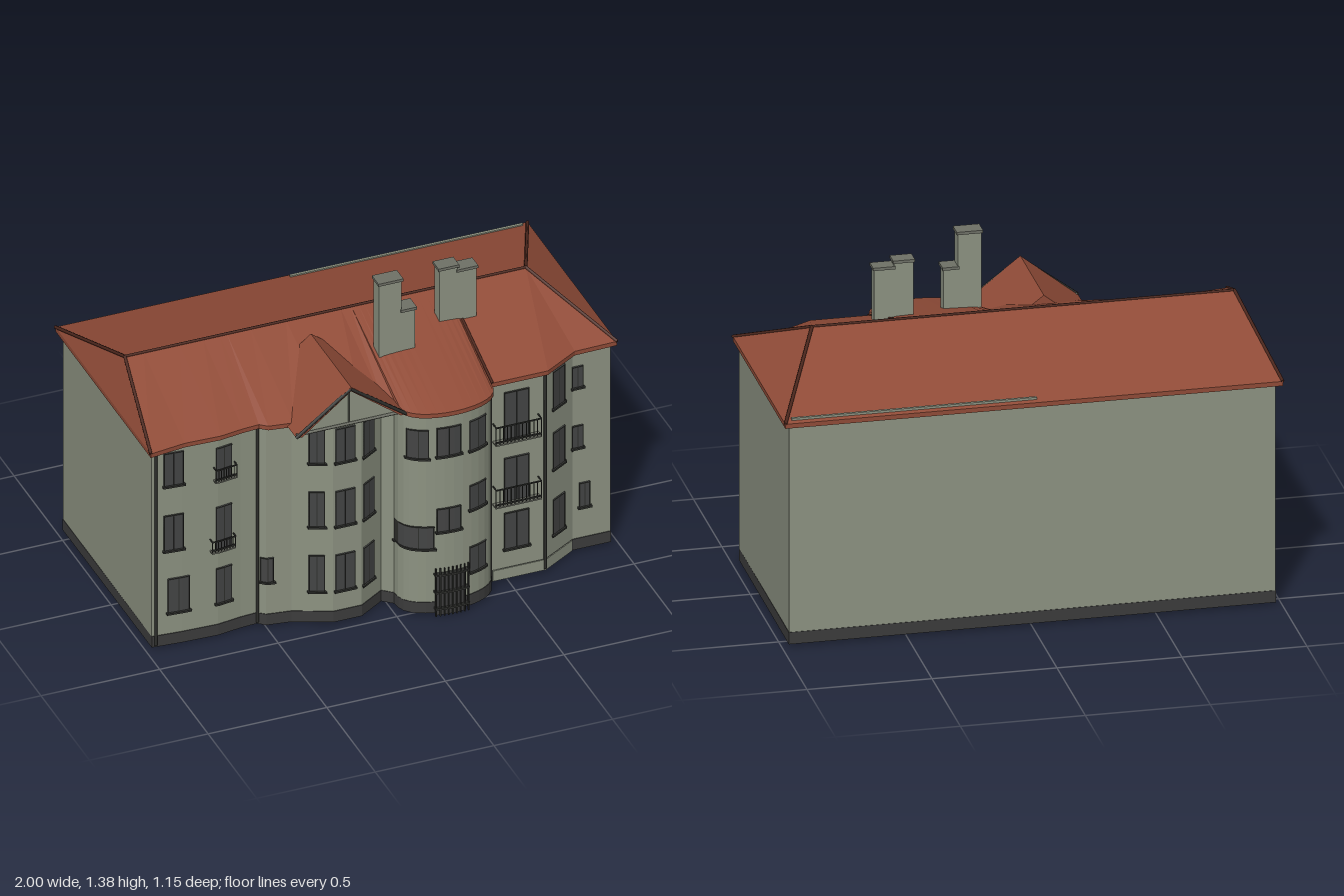
import * as THREE from 'three';

const mat = (name, color) => {
  const m = new THREE.MeshStandardMaterial({ color });
  m.name = name;
  return m;
};

export function createModel() {
  const house = new THREE.Group();
  house.name = 'apartmentHouse';
  const wallMat = mat('sage plaster', 0x8d9382);
  const baseMat = mat('dark plinth', 0x3c3c3c);
  const roofMat = mat('red roof', 0x914c38);
  const ridgeMat = mat('dark ridge', 0x4c271d);
  const glassMat = mat('window grey', 0x444545);
  const trimMat = mat('dark trim', 0x2e2f2c);
  const capMat = mat('chimney cap', 0x6f7167);

  const add = (name, geo, material, parent = house) => {
    const m = new THREE.Mesh(geo, material);
    m.name = name;
    parent.add(m);
    return m;
  };
  const group = (name) => {
    const g = new THREE.Group();
    g.name = name;
    house.add(g);
    return g;
  };
  const box = (name, x0, x1, y0, y1, z0, z1, material, parent) =>
    add(name, new THREE.BoxGeometry(x1 - x0, y1 - y0, z1 - z0), material, parent)
      .position.set((x0 + x1) / 2, (y0 + y1) / 2, (z0 + z1) / 2);
  // upright prism over a plan outline of [x, z] points
  const prism = (points, y0, y1) => {
    const shape = new THREE.Shape(points.map(([x, z]) => new THREE.Vector2(x, -z)));
    return new THREE.ExtrudeGeometry(shape, { depth: y1 - y0, bevelEnabled: false })
      .rotateX(-Math.PI / 2).translate(0, y0, 0);
  };
  // straight round bar between two points
  const bar = (name, a, b, r, material, parent) => {
    const p = new THREE.Vector3(...a), q = new THREE.Vector3(...b);
    const m = add(name, new THREE.CylinderGeometry(r, r, p.distanceTo(q), 6), material, parent);
    m.position.copy(p).add(q).multiplyScalar(0.5);
    m.quaternion.setFromUnitVectors(new THREE.Vector3(0, 1, 0), q.sub(p).normalize());
  };

  // plan of the front wall, left end to right end in x
  const tower = [];
  for (let i = 0; i <= 16; i++) {
    const a = Math.PI * (1 - i / 16);
    tower.push([0.22 + 0.2 * Math.cos(a), 0.42 + 0.13 * Math.pow(Math.sin(a), 0.8)]);
  }
  const front = [
    [-0.975, 0.355], [-0.85, 0.365], [-0.7, 0.37], [-0.6, 0.355], [-0.53, 0.35], [-0.5, 0.375],
    [-0.4, 0.39], [-0.25, 0.455], [-0.13, 0.455], [-0.02, 0.385], ...tower,
    [0.43, 0.42], [0.66, 0.42], [0.81, 0.33], [0.97, 0.33],
  ];
  const frontZ = (x) => {
    let i = 1;
    while (i < front.length - 1 && front[i][0] < x) i++;
    const [x0, z0] = front[i - 1], [x1, z1] = front[i];
    return z0 + (z1 - z0) * (x - x0) / (x1 - x0);
  };
  // thin band that follows the front wall
  const band = (name, x0, x1, y0, y1, out, material, parent, inner = -0.004) => {
    const xs = [x0, ...front.map((p) => p[0]).filter((x) => x > x0 + 1e-4 && x < x1 - 1e-4), x1];
    const outer = xs.map((x) => [x, frontZ(x) + out]);
    const back = xs.map((x) => [x, frontZ(x) + inner]).reverse();
    return add(name, prism([...outer, ...back], y0, y1), material, parent);
  };

  // walls and plinth
  add('walls', prism([...front, [0.97, -0.555], [-0.975, -0.555]], 0.06, 0.935), wallMat);
  add('plinth', prism([...front.map(([x, z]) => [x, z + 0.003]), [0.972, -0.557], [-0.977, -0.557]],
    0.01, 0.06), baseMat);
  band('lightPlinth', 0.435, 0.805, 0.012, 0.06, 0.006, wallMat);
  box('backWallTop', -0.02, 0.96, 0.935, 0.962, -0.557, -0.545, wallMat);

  // main roof: eaves outline joined to the ridge
  const RY = 1.12, RZ = -0.03, EY = 0.947;
  const eaves = [[-1, 0.41], ...front.slice(1, -1).map(([x, z]) => [x, z + 0.024]),
    [0.99, 0.35], [0.99, -0.575], [-1, -0.575]];
  const ridgeX = (x) => Math.min(0.76, Math.max(-0.93, x));
  const pos = [];
  eaves.forEach(([x0, z0], i) => {
    const [x1, z1] = eaves[(i + 1) % eaves.length];
    const r0 = [ridgeX(x0), RY, RZ], r1 = [ridgeX(x1), RY, RZ];
    pos.push(x0, EY, z0, x1, EY, z1, ...r1);
    if (r0[0] !== r1[0]) pos.push(x0, EY, z0, ...r1, ...r0);
  });
  const roofGeo = new THREE.BufferGeometry();
  roofGeo.setAttribute('position', new THREE.Float32BufferAttribute(pos, 3));
  roofGeo.computeVertexNormals();
  add('mainRoof', roofGeo, roofMat);
  add('eaves', prism(eaves, 0.928, EY), roofMat);
  const ridges = group('ridgeTiles');
  const ends = [[-0.93, RY, RZ], [0.76, RY, RZ]];
  bar('ridge', ends[0], ends[1], 0.006, ridgeMat, ridges);
  for (const z of [0.41, -0.575]) bar('leftHip', ends[0], [-1, EY, z], 0.007, ridgeMat, ridges);
  for (const z of [0.35, -0.575]) bar('rightHip', ends[1], [0.99, EY, z], 0.007, ridgeMat, ridges);
  bar('roofSeam', [0.425, RY - 0.012, 0], [0.425, EY, 0.445], 0.006, ridgeMat, ridges);

  // front gable with overhang and timber frame
  const profile = (pts, z0, z1) => new THREE.ExtrudeGeometry(
    new THREE.Shape(pts.map((p) => new THREE.Vector2(...p))),
    { depth: z1 - z0, bevelEnabled: false }).translate(0, 0, z0);
  const gable = group('frontGable');
  add('gableRoof', profile([[-0.425, 0.935], [-0.4, 0.935], [-0.195, 1.098], [0.015, 0.935],
    [0.045, 0.935], [-0.195, 1.117]], 0.09, 0.505), roofMat, gable);
  const infill = [[-0.4, 0.935], [0.015, 0.935], [-0.195, 1.1]];
  add('gableCore', profile(infill, 0.095, 0.44), roofMat, gable);
  add('gableWall', profile(infill, 0.44, 0.482), wallMat, gable);
  for (const x of [-0.425, 0.04]) {
    bar('bargeBoard', [x, 0.935, 0.502], [-0.195, 1.108, 0.502], 0.007, trimMat, gable);
    bar('brace', [x * 0.85 - 0.03, 0.94, 0.485], [x * 0.85 - 0.03, 0.94, 0.4], 0.006, trimMat, gable);
  }
  bar('tieBeam', [-0.42, 0.94, 0.49], [0.035, 0.94, 0.49], 0.006, capMat, gable);
  bar('kingPost', [-0.195, 0.94, 0.485], [-0.195, 1.1, 0.485], 0.004, capMat, gable);

  // windows: centre x, width, then [bottom, top] of each storey
  const windows = [
    [-0.885, 0.08, [0.75, 0.9], [0.45, 0.61]], [-0.865, 0.09, [0.16, 0.315]],
    [-0.675, 0.07, [0.73, 0.88], [0.41, 0.605], [0.16, 0.32]], [-0.495, 0.048, [0.21, 0.32]],
    [-0.31, 0.056, [0.75, 0.91], [0.455, 0.615], [0.155, 0.32]],
    [-0.2, 0.082, [0.75, 0.905], [0.455, 0.615], [0.155, 0.32]],
    [-0.09, 0.06, [0.745, 0.905], [0.455, 0.615], [0.15, 0.32]],
    [0.08, 0.075, [0.73, 0.86]], [0.2, 0.1, [0.735, 0.865], [0.385, 0.49]],
    [0.08, 0.12, [0.31, 0.41]], [0.328, 0.08, [0.73, 0.865], [0.455, 0.565], [0.165, 0.28]],
    [0.537, 0.105, [0.66, 0.875], [0.365, 0.57], [0.15, 0.315]],
    [0.733, 0.066, [0.735, 0.905], [0.455, 0.62], [0.15, 0.31]],
    [0.83, 0.046, [0.765, 0.86], [0.485, 0.585]], [0.86, 0.046, [0.205, 0.315]],
  ];
  const windowGroup = group('windows');
  for (const [x, w, ...storeys] of windows) for (const [y0, y1] of storeys) {
    const l = x - w / 2, r = x + w / 2;
    band('windowPane', l, r, y0, y1, 0.005, glassMat, windowGroup);
    band('windowSill', l - 0.006, r + 0.006, y0 - 0.008, y0, 0.014, trimMat, windowGroup);
    band('windowHead', l, r, y1 - 0.004, y1, 0.008, trimMat, windowGroup);
    for (const m of [l, x - 0.0015, r - 0.003])
      band('windowBar', m, m + 0.003, y0, y1, 0.007, trimMat, windowGroup);
  }

  // balconies with railings
  const balconies = group('balconies');
  const balcony = (x0, x1, y0, y1, out, n) => {
    band('balconyFloor', x0, x1, y0 - 0.006, y0, out, capMat, balconies);
    for (const y of [y0 + 0.008, y1 - 0.004])
      band('balconyRail', x0, x1, y, y + 0.005, out, trimMat, balconies, out - 0.005);
    for (let i = 0; i <= n; i++) {
      const x = x0 + (x1 - x0 - 0.003) * i / n;
      band('balconyBar', x, x + 0.003, y0, y1, out, trimMat, balconies, out - 0.003);
    }
    for (const x of [x0 + 0.002, x1 - 0.002])
      bar('sideRail', [x, y1, frontZ(x)], [x, y1, frontZ(x) + out], 0.003, trimMat, balconies);
  };
  for (const [y0, y1] of [[0.66, 0.74], [0.37, 0.45]]) balcony(0.436, 0.63, y0, y1, 0.035, 12);
  balcony(-0.72, -0.625, 0.735, 0.79, 0.025, 8);
  balcony(-0.735, -0.63, 0.41, 0.46, 0.025, 8);

  // entrance gate on the round tower
  const door = group('entranceGate');
  band('doorLeaf', 0.145, 0.27, 0, 0.19, 0.008, baseMat, door);
  for (let i = 0; i <= 8; i++) {
    const x = 0.14 + 0.135 * i / 8;
    band('gateBar', x, x + 0.005, 0, 0.22, 0.018, trimMat, door, 0.012);
  }
  for (const y of [0.03, 0.105, 0.185])
    band('gateRail', 0.138, 0.282, y, y + 0.008, 0.02, trimMat, door);

  // downpipes
  for (const x of [-0.96, -0.53, 0.425, 0.655])
    bar('downpipe', [x, 0.02, frontZ(x) + 0.008], [x, 0.93, frontZ(x) + 0.008], 0.006, trimMat);

  // chimney stacks with caps
  const chimneys = group('chimneys');
  for (const [x0, x1, top, z0, z1] of [
    [0.035, 0.13, 1.38, 0.175, 0.232], [0.13, 0.187, 1.235, 0.175, 0.232],
    [0.328, 0.405, 1.32, 0.085, 0.135], [0.405, 0.485, 1.297, 0.085, 0.135],
  ]) {
    box('chimneyStack', x0, x1, 0.98, top - 0.01, z0, z1, wallMat, chimneys);
    box('chimneyCap', x0 - 0.005, x1 + 0.005, top - 0.012, top, z0 - 0.006, z1 + 0.006, capMat, chimneys);
  }
  return house;
}
